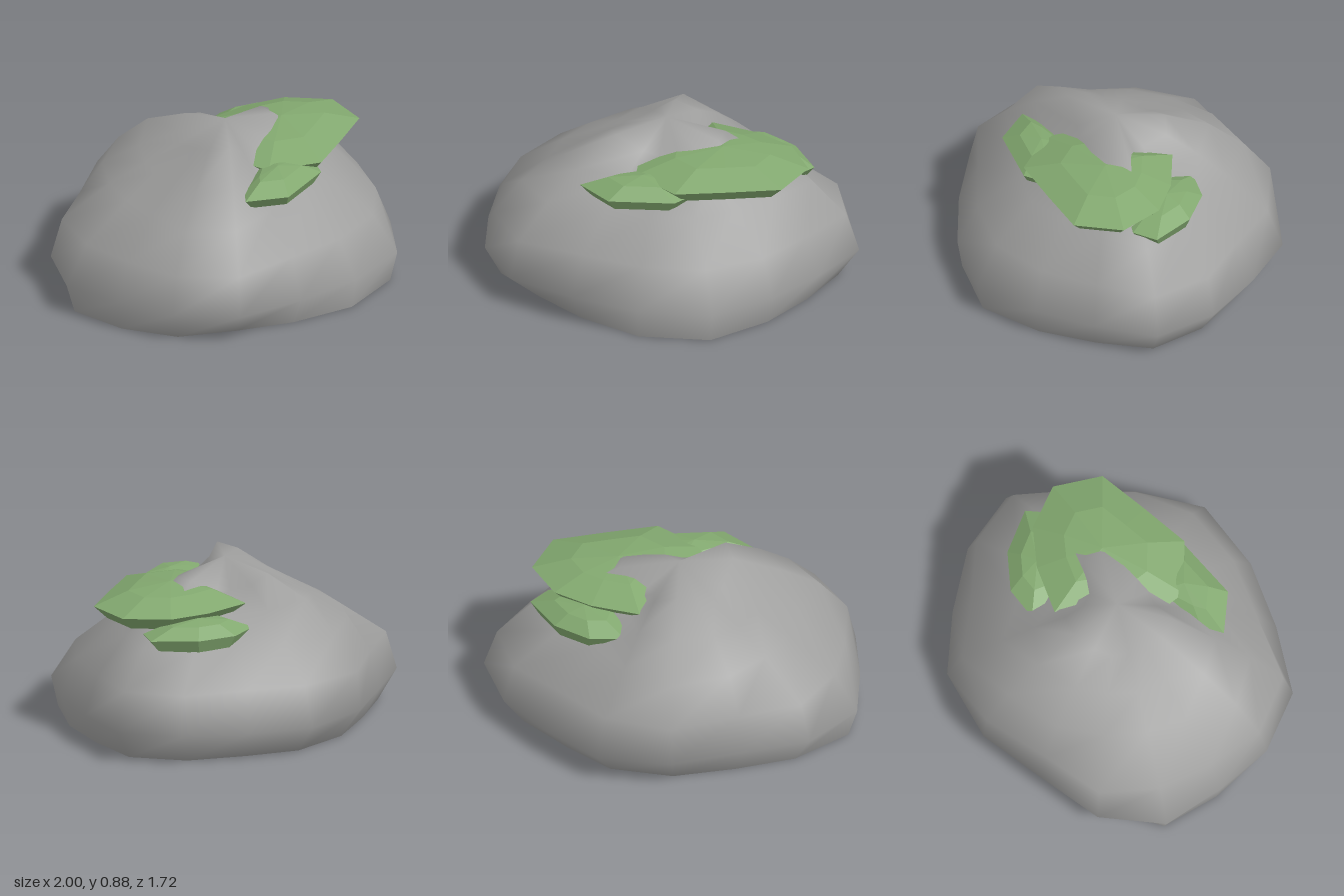
import * as THREE from 'three';

const stone = new THREE.MeshStandardMaterial({ color: 0x9f9f9e });
stone.name = 'stone grey';
const green = new THREE.MeshStandardMaterial({ color: 0x82a86f });
green.name = 'moss green';

const CX = -0.04; // axis of the boulder

// Builds a closed-ring surface from cross-sections running upwards, ending in a peak
function loft(rings, peak, flat) {
  const n = rings[0].length;
  const index = [];
  for (let r = 0; r < rings.length - 1; r++) {
    for (let i = 0; i < n; i++) {
      const a = r * n + i, b = r * n + (i + 1) % n;
      index.push(a, a + n, b, b, a + n, b + n);
    }
  }
  const last = (rings.length - 1) * n, tip = rings.length * n;
  for (let i = 0; i < n; i++) index.push(last + i, tip, last + (i + 1) % n);
  let geo = new THREE.BufferGeometry();
  geo.setAttribute('position', new THREE.Float32BufferAttribute([...rings.flat(), peak].flat(), 3));
  geo.setIndex(index);
  if (flat) geo = geo.toNonIndexed();
  geo.computeVertexNormals();
  return geo;
}

// Flat cap facing down
function underside(ring) {
  const shape = new THREE.Shape(ring.map(([x, , z]) => new THREE.Vector2(x, z)));
  return new THREE.ShapeGeometry(shape).rotateX(Math.PI / 2).translate(0, ring[0][1], 0);
}

function addMesh(group, name, geo, mat) {
  const mesh = new THREE.Mesh(geo, mat);
  mesh.name = name;
  group.add(mesh);
}

function makeBoulder() {
  const group = new THREE.Group();
  group.name = 'boulder';
  // Widest outline in 16 directions, from +x towards +z
  const outline = [[1, 0], [0.84, 0.31], [0.64, 0.59], [0.36, 0.84], [-0.04, 0.86], [-0.41, 0.77],
    [-0.77, 0.63], [-0.96, 0.33], [-1, 0], [-1, -0.34], [-0.76, -0.62], [-0.41, -0.74],
    [-0.04, -0.86], [0.36, -0.82], [0.63, -0.6], [0.88, -0.33]];
  // Scale of the foot in each direction
  const foot = [0.89, 0.92, 0.95, 0.96, 0.97, 0.9, 0.81, 0.91,
    0.97, 0.95, 0.89, 0.89, 0.86, 0.84, 0.85, 0.88];
  // Profile in each direction: radius at 0.375 and at 0.56, then radius and height
  // of the shoulder, then radius and height of the crown
  const profiles = [
    [0.97, 0.79, 0.54, 0.7, 0.32, 0.82],
    [0.85, 0.66, 0.46, 0.69, 0.32, 0.815],
    [0.82, 0.58, 0.42, 0.67, 0.25, 0.79],
    [0.8, 0.57, 0.38, 0.67, 0.22, 0.77],
    [0.75, 0.52, 0.33, 0.66, 0.2, 0.75],
    [0.75, 0.53, 0.36, 0.67, 0.21, 0.76],
    [0.91, 0.73, 0.54, 0.71, 0.31, 0.855],
    [0.93, 0.78, 0.57, 0.69, 0.3, 0.825],
    [0.88, 0.64, 0.44, 0.69, 0.25, 0.795],
    [0.89, 0.63, 0.44, 0.67, 0.25, 0.775],
    [0.89, 0.63, 0.43, 0.66, 0.25, 0.755],
    [0.78, 0.66, 0.46, 0.68, 0.25, 0.775],
    [0.84, 0.7, 0.51, 0.725, 0.27, 0.825],
    [0.83, 0.62, 0.45, 0.69, 0.28, 0.785],
    [0.8, 0.54, 0.34, 0.66, 0.18, 0.74],
    [0.92, 0.66, 0.42, 0.68, 0.18, 0.74],
  ];
  const around = (i, r, y) => {
    const a = Math.atan2(outline[i][1], outline[i][0] - CX);
    return [CX + Math.cos(a) * r, y, Math.sin(a) * r];
  };
  const footRing = outline.map(([x, z], i) => [CX + (x - CX) * foot[i], 0, z * foot[i]]);
  const rings = [
    footRing,
    outline.map(([x, z]) => [x, 0.165, z]),
    profiles.map((p, i) => around(i, p[0], 0.375)),
    profiles.map((p, i) => around(i, p[1], 0.56)),
    profiles.map((p, i) => around(i, p[2], p[3])),
    profiles.map((p, i) => around(i, p[4], p[5])),
  ];
  addMesh(group, 'boulderBody', loft(rings, [CX, 0.875, 0], false), stone);
  addMesh(group, 'boulderBase', underside(footRing), stone);
  return group;
}

// Faceted cushion: narrow underside, sharp rim, low domed top
function makeMoss(name, outline, [x, z], [low, mid, shoulder, top]) {
  const group = new THREE.Group();
  group.name = name;
  const ring = (s, y) => outline.map(([px, pz]) => [x + (px - x) * s, y, z + (pz - z) * s]);
  const rings = [ring(0.82, low), ring(1, mid), ring(0.55, shoulder)];
  addMesh(group, name + 'Cushion', loft(rings, [x, top, z], true), green);
  addMesh(group, name + 'Underside', underside(rings[0]), green);
  return group;
}

export function createModel() {
  const model = new THREE.Group();
  model.name = 'mossyBoulder';
  model.add(makeBoulder());
  // Outlines run from +x towards +z
  model.add(makeMoss('mainMoss', [[0.75, 0.13], [0.65, 0.38], [0.37, 0.46], [0.1, 0.53],
    [-0.14, 0.36], [-0.15, 0.22], [0.08, -0.08], [0.16, -0.265], [0.42, -0.2], [0.62, -0.09]],
  [0.29, 0.13], [0.635, 0.71, 0.775, 0.8]));
  model.add(makeMoss('frontMoss', [[0.2, 0.4], [0.1, 0.53], [-0.25, 0.57], [-0.43, 0.42],
    [-0.33, 0.34], [-0.15, 0.25], [-0.02, 0.18], [0.15, 0.24]],
  [-0.1, 0.39], [0.595, 0.655, 0.71, 0.73]));
  model.add(makeMoss('backMoss', [[0.75, -0.05], [0.66, 0.06], [0.4, 0.05], [0.2, -0.2],
    [0.235, -0.36], [0.42, -0.37], [0.61, -0.26]],
  [0.46, -0.17], [0.545, 0.615, 0.67, 0.69]));
  return model;
}
